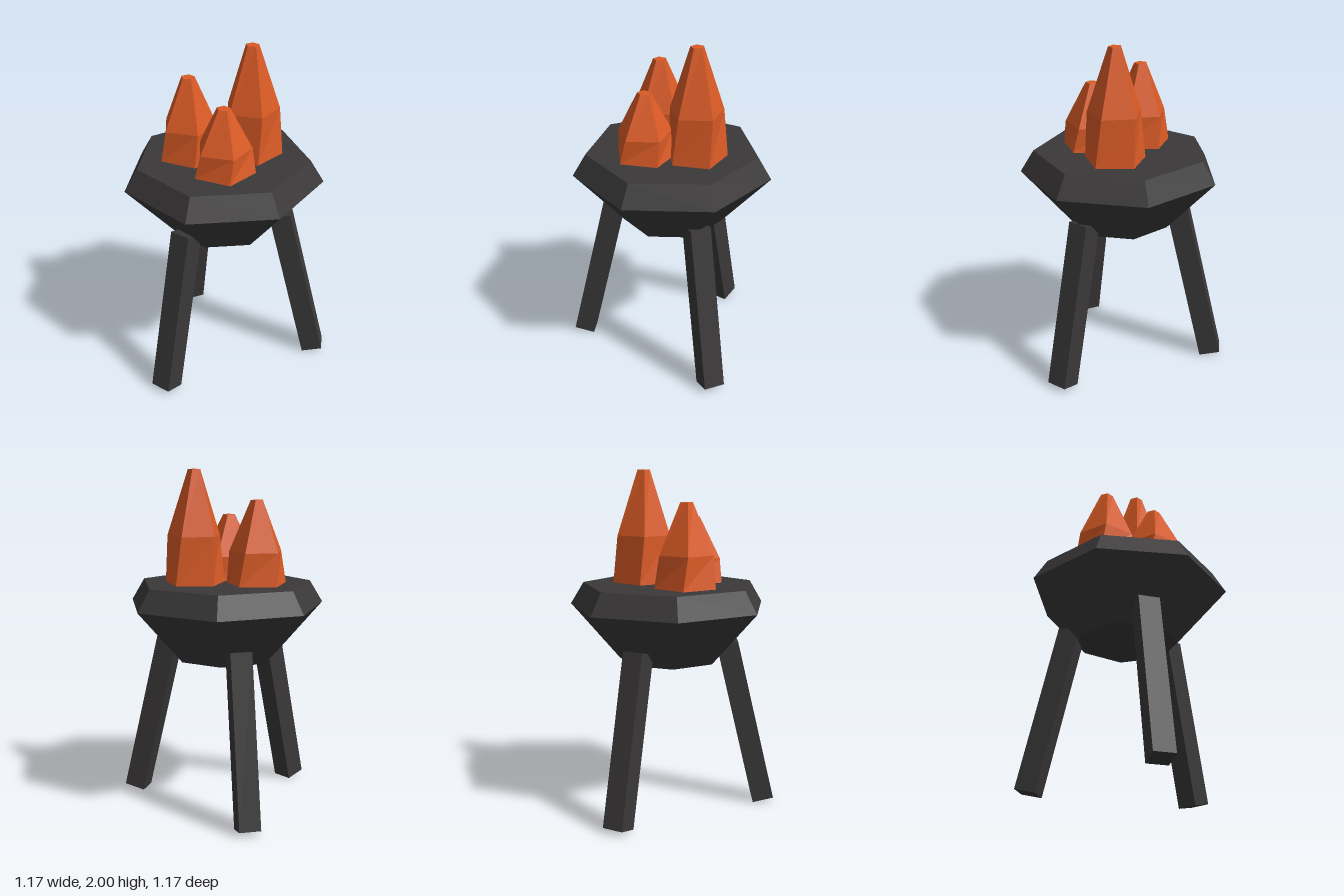
import * as THREE from 'three';

const charcoal = new THREE.MeshStandardMaterial({ color: 0x3a3839, flatShading: true });
const orange = new THREE.MeshStandardMaterial({ color: 0xd95a25, flatShading: true });

const AXIS_X = -0.054; // the brazier's own axis
const RIM_Y = 1.34;

function addMesh(parent, name, geometry, material) {
  const mesh = new THREE.Mesh(geometry, material);
  mesh.name = name;
  parent.add(mesh);
  return mesh;
}

// Five-sided spike: wide base, slightly narrower waist, small tip, each ring turned a little
function flameGeometry(height, waist) {
  const geometry = new THREE.CylinderGeometry(0.039, 0.184, 1, 5, 2);
  geometry.rotateY(Math.PI / 2); // a corner towards +x
  const waistScale = 0.163 / ((0.039 + 0.184) / 2);
  const pos = geometry.attributes.position;
  const v = new THREE.Vector3();
  const up = new THREE.Vector3(0, 1, 0);
  for (let i = 0; i < pos.count; i++) {
    v.fromBufferAttribute(pos, i);
    const t = v.y + 0.5;
    const isWaist = Math.abs(t - 0.5) < 0.01;
    const s = isWaist ? waistScale : 1;
    v.set(v.x * s, 0, v.z * s).applyAxisAngle(up, t * Math.PI / 10);
    pos.setXYZ(i, v.x, isWaist ? waist : t * height, v.z);
  }
  geometry.computeVertexNormals();
  return geometry;
}

export function createModel() {
  const model = new THREE.Group();
  model.name = 'brazier';

  const body = new THREE.Group();
  body.name = 'body';
  body.position.x = AXIS_X;
  model.add(body);

  // Seven-sided bowl with a bevelled rim, closed at top and bottom
  const profile = [[0, 0.89], [0.302, 0.89], [0.594, 1.21], [0.515, RIM_Y], [0, RIM_Y]]
    .map(([r, y]) => new THREE.Vector2(r, y));
  const bowl = new THREE.LatheGeometry(profile, 7);
  bowl.rotateY(Math.PI / 2);
  addMesh(body, 'bowl', bowl, charcoal);

  // Three square legs splayed outwards
  for (let i = 0; i < 3; i++) {
    const pivot = new THREE.Group();
    pivot.name = `legPivot${i + 1}`;
    pivot.rotation.y = i * Math.PI * 2 / 3;
    body.add(pivot);
    const leg = addMesh(pivot, `leg${i + 1}`, new THREE.BoxGeometry(0.126, 1, 0.126), charcoal);
    leg.position.set(0.463, 0.501, 0);
    leg.rotation.z = THREE.MathUtils.degToRad(13.2);
  }

  // Flames: x, z, height, waist height
  const flames = [
    [0.106, -0.08, 0.66, 0.28],
    [-0.249, -0.002, 0.485, 0.19],
    [-0.025, 0.186, 0.386, 0.143],
  ];
  flames.forEach(([x, z, height, waist], i) => {
    const flame = addMesh(model, `flame${i + 1}`, flameGeometry(height, waist), orange);
    flame.position.set(x, RIM_Y, z);
  });

  return model;
}
